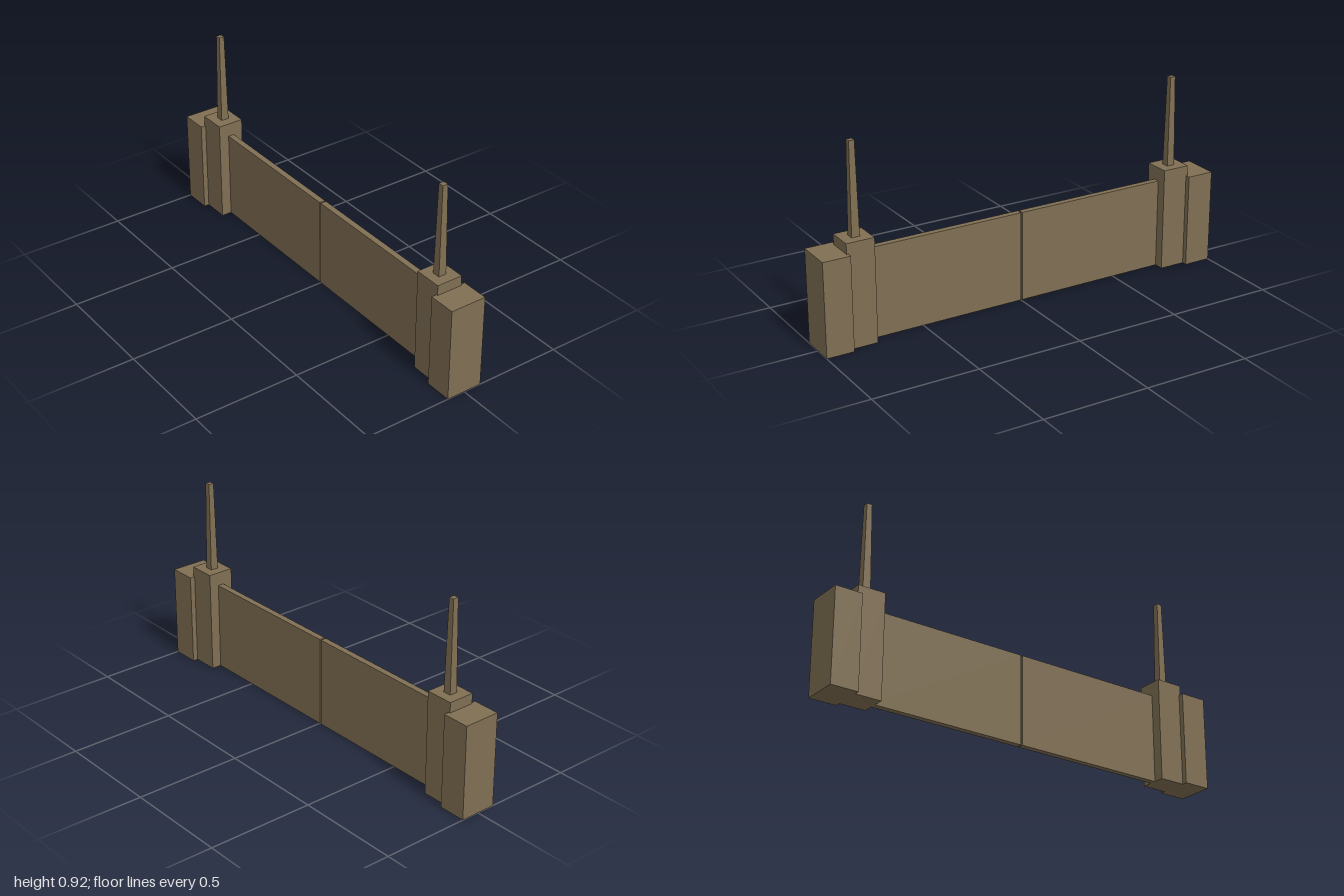
import * as THREE from 'three';

export function createModel() {
  const model = new THREE.Group();
  const brown = new THREE.MeshStandardMaterial({ color: 0x806f53 });
  brown.name = 'earth brown';

  // Box between x0 and x1, standing on the ground
  function block(name, x0, x1, height, depth, z = 0) {
    const geometry = new THREE.BoxGeometry(x1 - x0, height, depth);
    geometry.translate((x0 + x1) / 2, height / 2, z);
    const mesh = new THREE.Mesh(geometry, brown);
    mesh.name = name;
    model.add(mesh);
  }

  // Square pole narrowing towards its flat top
  function taperedPole(name, x, y0, y1, baseHalf, topHalf) {
    const geometry = new THREE.BoxGeometry(2, y1 - y0, 2);
    const p = geometry.attributes.position;
    for (let i = 0; i < p.count; i++) {
      const half = p.getY(i) > 0 ? topHalf : baseHalf;
      p.setX(i, p.getX(i) * half);
      p.setZ(i, p.getZ(i) * half);
    }
    geometry.computeVertexNormals();
    geometry.translate(x, (y0 + y1) / 2, 0);
    const mesh = new THREE.Mesh(geometry, brown);
    mesh.name = name;
    model.add(mesh);
  }

  for (const [side, s] of [['left', 1], ['right', -1]]) {
    const span = (a, b) => (s > 0 ? [a, b] : [-b, -a]);
    block(side + 'EndBlock', ...span(0.87, 1), 0.442, 0.174);
    block(side + 'GatePost', ...span(0.746, 0.878), 0.49, 0.125);
    taperedPole(side + 'Pole', s * 0.812, 0.485, 0.918, 0.019, 0.013);
  }

  // Two thin gate leaves with a narrow gap between them
  block('leftGateLeaf', -0.001, 0.78, 0.425, 0.029, -0.001);
  block('rightGateLeaf', -0.78, -0.008, 0.425, 0.029, -0.001);

  return model;
}
